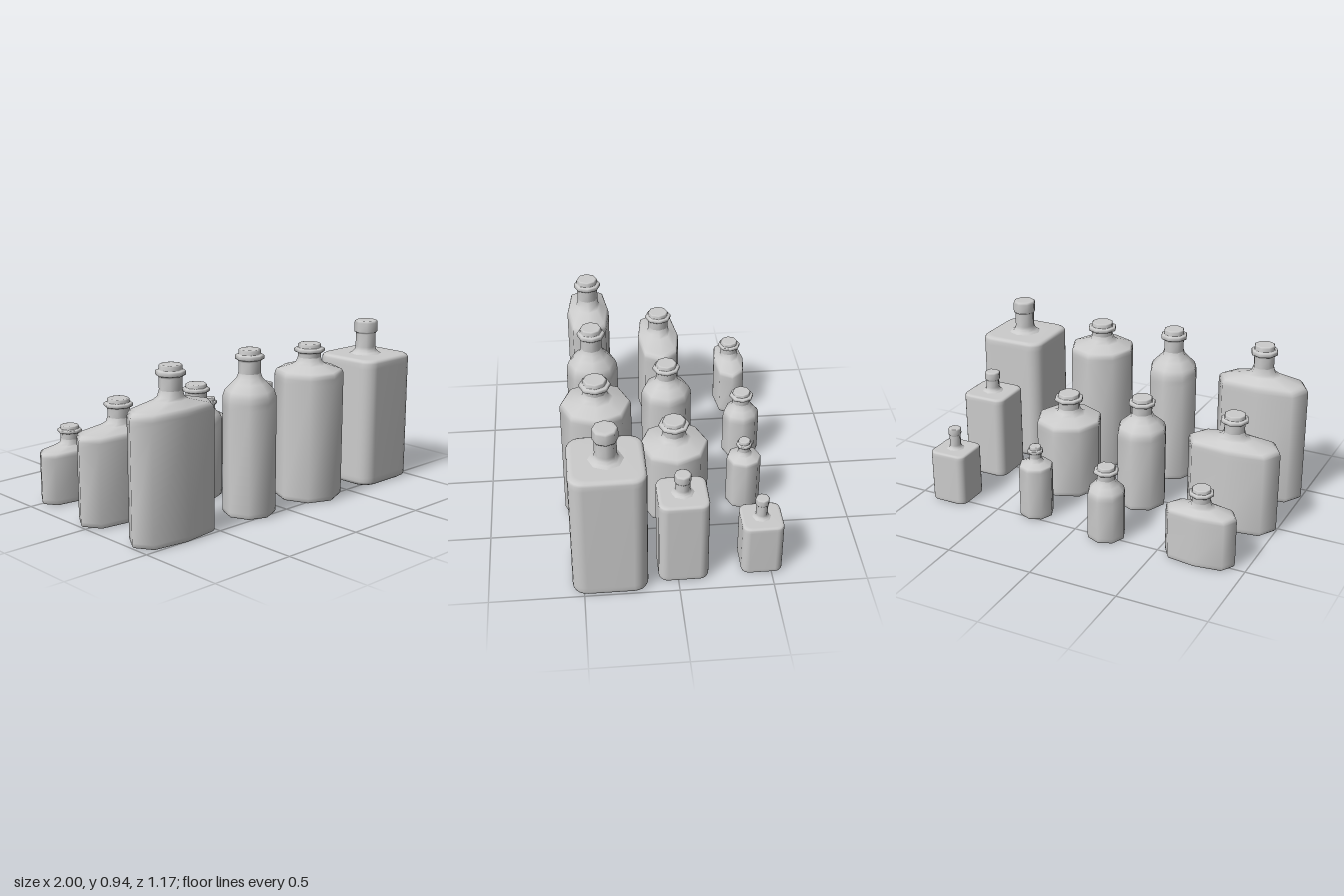
import * as THREE from 'three';

const mat = new THREE.MeshStandardMaterial({ color: 0xcccccc });

// Skin a stack of closed rings (bottom to top) into one smooth surface.
function loft(rings, name) {
  const n = rings[0].length;
  const index = [];
  for (let r = 0; r < rings.length - 1; r++) {
    for (let j = 0; j < n; j++) {
      const a = r * n + j, b = r * n + (j + 1) % n;
      index.push(a, a + n, b, b, a + n, b + n);
    }
  }
  const geo = new THREE.BufferGeometry();
  geo.setAttribute('position', new THREE.Float32BufferAttribute(rings.flat(2), 3));
  geo.setIndex(index);
  geo.computeVertexNormals();
  const mesh = new THREE.Mesh(geo, mat);
  mesh.name = name;
  return mesh;
}

// Eight-sided ring with corners on the axes; bulge pushes the diagonals out.
function octagon(rx, rz, y, bulge = 1) {
  return Array.from({ length: 8 }, (_, i) => {
    const a = i * Math.PI / 4, d = i % 2 ? bulge : 1;
    return [rx * d * Math.cos(a), y, rz * d * Math.sin(a)];
  });
}

// Rounded square ring; round = 1 approaches a circle.
function roundedSquare(half, round, y) {
  const pts = [];
  for (let q = 0; q < 4; q++) {
    const mid = (q + 0.5) * Math.PI / 2;
    for (let j = 0; j < 6; j++) {
      const a = (q + j / 5) * Math.PI / 2;
      pts.push([
        half * (Math.sign(Math.cos(mid)) * (1 - round) + round * Math.cos(a)), y,
        half * (Math.sign(Math.sin(mid)) * (1 - round) + round * Math.sin(a))]);
    }
  }
  return pts;
}

const lathe = (profile, name) => loft(profile.map(([r, y]) => octagon(r, r, y)), name);

// Shoulder curves: [spread from neck (0) to body (1), height from edge (0) to neck (1)]
const shoulders = {
  flask: [[1, 0], [0.98, 0.15], [0.91, 0.28], [0.8, 0.34], [0.2, 0.6], [0.06, 0.72], [0, 1]],
  sloping: [[1, 0], [0.97, 0.2], [0.85, 0.4], [0.4, 0.66], [0.1, 0.84], [0, 1]],
  broad: [[1, 0], [0.98, 0.2], [0.9, 0.34], [0.25, 0.6], [0.07, 0.75], [0, 1]],
};

// Eight-sided bottle with a flanged mouth.
function flangedBottle({ name, style, x, z, rx, rz, edge, neckY, top, neck, flange, k }) {
  const g = new THREE.Group();
  g.name = name;
  const bulge = style === 'flask' ? 1.1 : 1;
  const ring = (t, y) => octagon(
    neck + (rx - neck) * t, neck + (rz - neck) * t, y, 1 + (bulge - 1) * t);
  g.add(loft([
    octagon(0, 0, 0),
    octagon(rx * 0.9, rz * 0.9, 0, bulge),
    octagon(rx * 0.96, rz * 0.96, 0.003, bulge),
    ring(0.99, 0.012), ring(1, 0.03), ring(1, edge - 0.03),
    ...shoulders[style].map(([t, u]) => ring(t, edge + (neckY - edge) * u)),
  ], 'body'));
  const f0 = top - 0.056 * k, f1 = top - 0.03 * k;
  g.add(lathe([
    [neck, neckY], [neck, f0 - 0.012 * k], [neck * 1.04, f0 - 0.002],
    [flange * 0.94, f0], [flange, f0 + 0.005 * k], [flange, f1 - 0.005 * k],
    [flange * 0.94, f1], [neck * 1.05, f1 + 0.001], [neck, f1 + 0.005 * k],
    [neck, top - 0.006 * k], [neck * 0.93, top], [neck * 0.8, top], [0, top],
  ], 'neckAndMouth'));
  g.position.set(x, 0, z);
  return g;
}

// Square bottle with a hollow in the base and a plain collar.
function squareBottle({ name, x, z, half, height, top, collar }) {
  const g = new THREE.Group();
  g.name = name;
  const R = 0.38, h = half, b = 0.1 * half;
  g.add(loft([
    [0, 0.95, 0.3 * h], [0.25 * h, 0.95, 0.26 * h], [0.42 * h, 0.95, 0.12 * h],
    [0.52 * h, 0.92, 0.02 * h], [0.6 * h, 0.85, 0], [0.86 * h, 0.5, 0],
    [0.93 * h, 0.43, 0.01 * h], [0.98 * h, R, 0.05 * h], [h, R, 0.12 * h], [h, R, 0.25 * h],
    [h, R, height - 2.5 * b], [h, R, height - b], [h - 0.25 * b, R, height - 0.4 * b],
    [h - 0.8 * b, R, height - 0.05 * b], [h - 1.6 * b, 0.42, height],
    [collar * 1.3, 0.95, height], [0, 0.95, height],
  ].map(([s, r, y]) => roundedSquare(s, r, y)), 'body'));
  const n = collar * 0.86, c = collar, y0 = top - c * 1.05;
  g.add(lathe([
    [c * 1.45, height - 0.002], [c * 1.12, height + c * 0.13], [c * 0.93, height + c * 0.32],
    [n, height + c * 0.6], [n, y0 - c * 0.12], [n * 1.02, y0 - 0.001],
    [c * 0.97, y0], [c, y0 + c * 0.08], [c, top - c * 0.2], [c * 0.96, top - c * 0.06],
    [c * 0.86, top], [c * 0.6, top], [0, top],
  ], 'neckAndCollar'));
  g.position.set(x, 0, z);
  return g;
}

export function createModel() {
  const model = new THREE.Group();
  model.name = 'bottleCollection';
  const sizes = ['large', 'medium', 'small'];

  // Per size: z, rx, rz, edge, neckY, top, neck, flange, k
  const kinds = [
    ['flask', -0.735, [
      [0.39, 0.267, 0.125, 0.66, 0.78, 0.91, 0.06, 0.078, 1],
      [-0.035, 0.267, 0.125, 0.465, 0.56, 0.66, 0.06, 0.078, 0.8],
      [-0.48, 0.2, 0.093, 0.27, 0.35, 0.425, 0.052, 0.068, 0.7]]],
    ['sloping', -0.183, [
      [0.39, 0.145, 0.145, 0.63, 0.78, 0.91, 0.06, 0.078, 1],
      [-0.035, 0.145, 0.145, 0.43, 0.555, 0.65, 0.06, 0.078, 0.8],
      [-0.48, 0.107, 0.107, 0.25, 0.35, 0.425, 0.052, 0.07, 0.7]]],
    ['broad', 0.282, [
      [0.39, 0.192, 0.192, 0.7, 0.8, 0.877, 0.064, 0.085, 0.85],
      [-0.035, 0.192, 0.192, 0.41, 0.495, 0.585, 0.064, 0.085, 0.8],
      [-0.43, 0.097, 0.097, 0.29, 0.35, 0.42, 0.034, 0.045, 0.7]]],
  ];
  for (const [style, x, list] of kinds) {
    list.forEach(([z, rx, rz, edge, neckY, top, neck, flange, k], i) => model.add(
      flangedBottle({ name: `${sizes[i]} ${style} bottle`, style, x, z, rx, rz, edge, neckY, top, neck, flange, k })));
  }

  // Square bottles: z, half width, body height, top, collar radius
  [[0.36, 0.199, 0.745, 0.94, 0.067],
    [-0.03, 0.133, 0.5, 0.62, 0.045],
    [-0.45, 0.11, 0.305, 0.43, 0.037]].forEach(([z, half, height, top, collar], i) => model.add(
    squareBottle({ name: `${sizes[i]} square bottle`, x: 0.798, z, half, height, top, collar })));

  return model;
}
